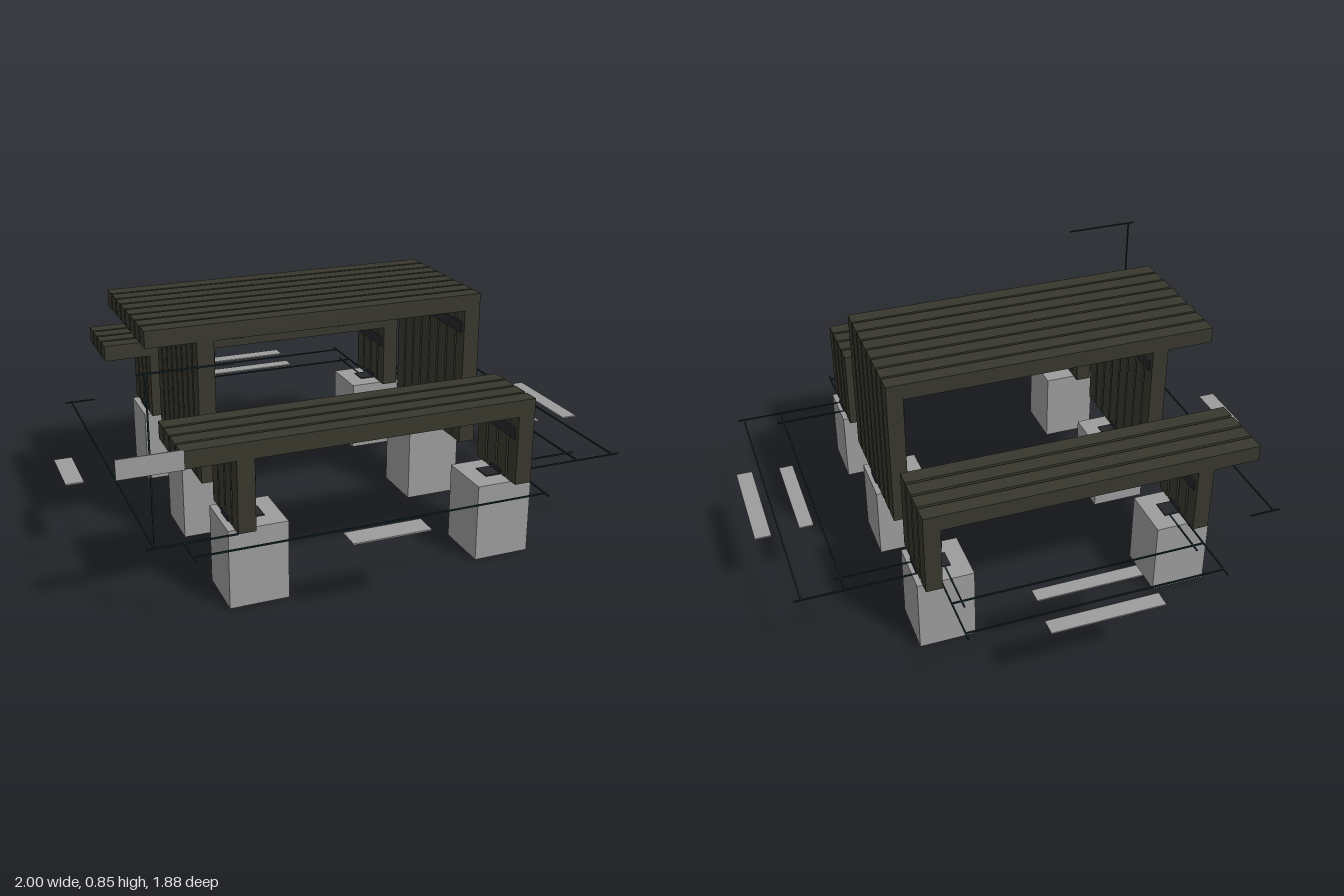
import * as THREE from 'three';

const mat = (name, color) => {
  const m = new THREE.MeshStandardMaterial({ color });
  m.name = name;
  return m;
};

export function createModel() {
  const root = new THREE.Group();
  root.name = 'picnicTableSet';
  const wood = mat('darkWood', 0x38372d);
  const concrete = mat('concreteGrey', 0x9c9c9c);
  const steel = mat('darkSteel', 0x24262a);
  const ink = mat('lineInk', 0x14262b);

  // Box given by its extents on each axis
  const box = (parent, name, material, [x0, x1], [y0, y1], [z0, z1]) => {
    const mesh = new THREE.Mesh(new THREE.BoxGeometry(x1 - x0, y1 - y0, z1 - z0), material);
    mesh.position.set((x0 + x1) / 2, (y0 + y1) / 2, (z0 + z1) / 2);
    mesh.name = name;
    parent.add(mesh);
  };

  const GROUND = 0.28, THICK = 0.06, SLAT = 0.059;
  const LEFT = -0.735, RIGHT = 0.5;
  const legs = [[-0.56, -0.5], [0.44, 0.5]];

  // Slatted unit: top boards, two slatted legs, steel straps, footings
  function slattedUnit(name, z0, z1, top, count, blockZ) {
    const unit = new THREE.Group();
    unit.name = name;
    const under = top - THICK;
    const pitch = (z1 - z0 - SLAT) / (count - 1);
    for (let i = 0; i < count; i++) {
      const z = [z0 + i * pitch, z0 + i * pitch + SLAT];
      box(unit, 'topSlat', wood, [LEFT, RIGHT], [under, top], z);
      for (const leg of legs) box(unit, 'legSlat', wood, leg, [GROUND, under], z);
    }
    const inside = [z0 + 0.015, z1 - 0.015];
    // flat straps under the top
    for (const x of [-0.41, -0.03, 0.35])
      box(unit, 'topStrap', steel, [x - 0.02, x + 0.02], [under - 0.006, under], inside);
    // straps on the inner faces of the legs
    for (const x of [-0.5, 0.434])
      box(unit, 'legStrap', steel, [x, x + 0.006], [under - 0.085, under - 0.045], inside);
    // footings with small fixing brackets
    for (const [x0, x1] of [[-0.585, -0.38], [0.315, 0.52]])
      box(unit, 'footing', concrete, [x0, x1], [0, GROUND], [blockZ - 0.102, blockZ + 0.102]);
    for (const [x0, x1] of legs) {
      const z = [blockZ - 0.035, blockZ + 0.035];
      box(unit, 'footBracket', steel, [x0 - 0.005, x1 + 0.005], [GROUND, GROUND + 0.018], z);
      const inner = x0 < 0 ? [x1, x1 + 0.06] : [x0 - 0.06, x0];
      box(unit, 'footPlate', steel, inner, [GROUND, GROUND + 0.004], z);
    }
    root.add(unit);
  }
  slattedUnit('table', -0.21, 0.333, 0.85, 8, 0.068);
  slattedUnit('frontBench', 0.47, 0.74, 0.59, 4, 0.608);
  slattedUnit('backBench', -0.618, -0.348, 0.59, 4, -0.478);

  // Measuring lines
  const lines = new THREE.Group();
  lines.name = 'measuringLines';
  root.add(lines);
  const W = 0.0025;
  const around = v => [v - W, v + W];
  const lineX = (x0, x1, z, y = GROUND) => box(lines, 'lineAcross', ink, [x0, x1], around(y), around(z));
  const lineZ = (x, z0, z1) => box(lines, 'lineDeep', ink, around(x), around(GROUND), [z0, z1]);

  // behind the benches
  lineX(-0.5, 0.435, -0.85);
  lineX(-0.5, 0.435, -0.7);
  for (const x of [-0.5, 0.435]) lineZ(x, -0.88, -0.5);
  for (const x of [-0.46, 0.4]) lineZ(x, -0.73, -0.5);
  // in front
  lineX(LEFT, RIGHT, 0.835);
  for (const x of [LEFT, RIGHT]) lineZ(x, 0.74, 0.86);
  // right end
  for (const x of [0.755, 0.905]) lineZ(x, -0.515, 0.64);
  for (const z of [-0.45, 0.57]) lineX(0.48, 0.78, z);
  for (const z of [-0.515, 0.64]) lineX(0.48, 0.93, z);
  // left end
  lineZ(-0.83, -0.618, 0.738);
  lineX(-0.855, -0.735, -0.618);
  lineX(-0.855, -0.56, 0.738);
  // height
  lineX(-0.855, -0.56, 0.738, 0.85);
  box(lines, 'lineUp', ink, around(-0.83), [GROUND, 0.85], around(0.738));

  // Blank label plates
  const flat = [[-0.235, 0.175, -0.945, -0.885], [-0.225, 0.163, -0.785, -0.73],
    [0.78, 0.833, -0.135, 0.255], [0.935, 0.995, -0.145, 0.267],
    [-0.25, 0.02, 0.855, 0.937], [-1, -0.935, -0.17 + 0.115, 0.173]];
  for (const [x0, x1, z0, z1] of flat)
    box(root, 'labelPlate', concrete, [x0, x1], around(GROUND), [z0, z1]);
  box(root, 'heightLabelPlate', concrete, [-0.937, -0.725], [0.53, 0.597], [0.74, 0.744]);

  return root;
}
